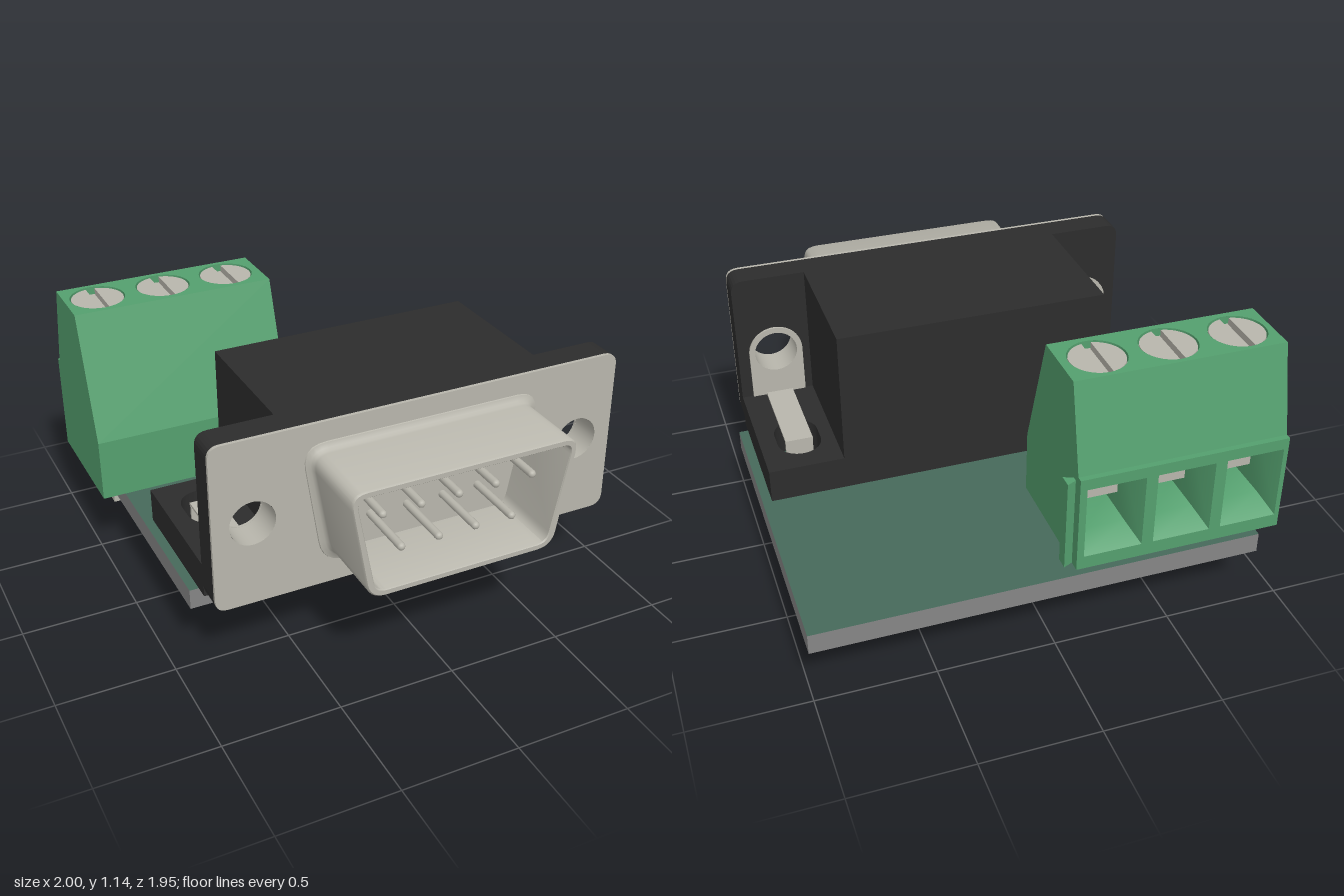
import * as THREE from 'three';
import { toCreasedNormals } from 'three/addons/utils/BufferGeometryUtils.js';

const mat = (name, color, side = THREE.FrontSide) => {
  const m = new THREE.MeshStandardMaterial({ color, side });
  m.name = name;
  return m;
};

// Corner-rounded outline, counterclockwise, as a list of points
function rounded(corners, r, n = 6) {
  const out = [];
  corners.forEach((c, i) => {
    const p = new THREE.Vector2(...c);
    const toward = (k) => new THREE.Vector2(...corners[(i + k + corners.length) % corners.length]).sub(p).setLength(r).add(p);
    out.push(...new THREE.QuadraticBezierCurve(toward(-1), p, toward(1)).getPoints(n));
  });
  return out;
}
const rect = (x0, y0, x1, y1) => [[x0, y0], [x1, y0], [x1, y1], [x0, y1]];
const shapeOf = (pts, holes = []) => {
  const s = new THREE.Shape(pts.map((p) => (p.isVector2 ? p : new THREE.Vector2(...p))));
  s.holes.push(...holes);
  return s;
};
const circle = (x, y, r) => new THREE.Path().absarc(x, y, r, 0, Math.PI * 2, true);
const extrude = (shape, depth, z = 0) =>
  new THREE.ExtrudeGeometry(shape, { depth, bevelEnabled: false, curveSegments: 20 }).translate(0, 0, z);
// Plan shape in (x, z), running down from height top
const slab = (shape, top, depth) => extrude(shape, depth).rotateX(Math.PI / 2).translate(0, top, 0);
const box = (x0, x1, y0, y1, z0, z1) =>
  new THREE.BoxGeometry(x1 - x0, y1 - y0, z1 - z0).translate((x0 + x1) / 2, (y0 + y1) / 2, (z0 + z1) / 2);

// Skin between equal-length closed outlines given as [points, z]
function loft(sections) {
  const pos = [], idx = [], n = sections[0][0].length;
  sections.forEach(([pts, z]) => pts.forEach((p) => pos.push(p.x, p.y, z)));
  for (let i = 0; i < sections.length - 1; i++) {
    for (let j = 0; j < n; j++) {
      const a = i * n + j, b = i * n + ((j + 1) % n);
      idx.push(a, b, b + n, a, b + n, a + n);
    }
  }
  const g = new THREE.BufferGeometry();
  g.setAttribute('position', new THREE.Float32BufferAttribute(pos, 3));
  g.setIndex(idx);
  return toCreasedNormals(g, 0.7);
}

export function createModel() {
  const metal = mat('tinned metal', 0xb8b6ac, THREE.DoubleSide);
  const black = mat('black plastic', 0x2c2c2c);
  const green = mat('terminal green', 0x549f6e, THREE.DoubleSide);
  const mask = mat('board green', 0x46695a);
  const edge = mat('board edge grey', 0x858585);

  const model = new THREE.Group();
  model.name = 'serialConnectorBoard';
  const add = (name, geo, material, parent = model) => {
    const m = new THREE.Mesh(geo, material);
    m.name = name;
    parent.add(m);
    return m;
  };

  const CX = 0.05, TOP = 0.32, HOLE = 0.74, LOCK_Z = 0.07;
  const lockX = [CX - HOLE, CX + HOLE];
  const termX = [-0.855, -0.555, -0.255];

  // Circuit board with lock holes and plated rings
  add('circuitBoard', slab(shapeOf(rect(-0.9, -0.98, 1, 0.44), lockX.map((x) => circle(x, LOCK_Z, 0.1))), TOP, 0.09), [mask, edge]);
  lockX.forEach((x) => {
    const ring = new THREE.Shape().absarc(x, LOCK_Z, 0.12, 0, Math.PI * 2);
    ring.holes.push(circle(x, LOCK_Z, 0.096));
    add('lockRing', slab(ring, TOP + 0.004, 0.098), metal);
  });
  const pad = (x, z, r) =>
    add('solderPad', new THREE.CylinderGeometry(r, r, 0.098, 20).translate(x, TOP - 0.045, z), metal);

  // Connector housing
  const connector = new THREE.Group();
  connector.name = 'connector';
  model.add(connector);
  add('housing', box(CX - 0.585, CX + 0.585, TOP, 1.06, -0.12, 0.5), black, connector);
  const flange = () => shapeOf(rounded(rect(-0.86, TOP, 0.96, 1.06), 0.055), lockX.map((x) => circle(x, 0.69, 0.097)));
  add('rearFlange', extrude(flange(), 0.12, 0.49), black, connector);
  add('facePlate', extrude(flange(), 0.015, 0.61), metal, connector);

  // Feet, brackets and board locks on both sides
  lockX.forEach((x, i) => {
    const inner = CX + (i ? 0.585 : -0.585), outer = CX + (i ? 0.91 : -0.91);
    const slot = new THREE.Path();
    slot.absarc(x, 0.14, 0.095, 0, Math.PI, false);
    slot.absarc(x, 0.068, 0.095, Math.PI, Math.PI * 2, false);
    slot.closePath();
    const foot = shapeOf(rect(Math.min(inner, outer), -0.12, Math.max(inner, outer), 0.5), [slot]);
    add('foot', slab(foot, 0.47, 0.15), black, connector);

    const tongue = new THREE.Shape();
    tongue.moveTo(x - 0.12, 0.472);
    tongue.lineTo(x + 0.12, 0.472);
    tongue.lineTo(x + 0.12, 0.69);
    tongue.absarc(x, 0.69, 0.12, 0, Math.PI, false);
    tongue.closePath();
    tongue.holes.push(circle(x, 0.69, 0.095));
    add('bracketTongue', extrude(tongue, 0.012, 0.479), metal, connector);
    add('holeLiner', new THREE.CylinderGeometry(0.096, 0.096, 0.13, 32, 1, true)
      .rotateX(Math.PI / 2).translate(x, 0.69, 0.555), metal, connector);
    add('bracketStrap', box(x - 0.06, x + 0.06, 0.47, 0.481, 0.065, 0.485), metal, connector);
    const half = [[0.025, 0.3], [0.025, 0], [0.04, 0], [0.06, 0.05], [0.06, 0.475]];
    const prongs = [...half, ...half.map(([u, v]) => [-u, v]).reverse()];
    add('boardLock', extrude(shapeOf(prongs), 0.012, 0.07).translate(x, 0, 0), metal, connector);
  });

  // Flared, D-shaped metal shell, open at the front
  const dee = (o) => rounded([
    [CX - 0.415 - o, 0.45 - o], [CX + 0.415 + o, 0.45 - o],
    [CX + 0.5 + o, 0.94 + o], [CX - 0.5 - o, 0.94 + o]], 0.075 + o);
  const shell = [[0.035, 0.622], [0.032, 0.63], [0.012, 0.637], [0.003, 0.648], [0, 0.66], [0, 0.962],
    [-0.006, 0.97], [-0.026, 0.97], [-0.03, 0.965], [-0.03, 0.64]];
  add('shell', loft(shell.map(([o, z]) => [dee(o), z])), metal, connector);
  add('shellFloor', new THREE.ShapeGeometry(shapeOf(dee(-0.03))).translate(0, 0, 0.645), metal, connector);

  // Nine contacts, each with a tail through the board
  for (let i = 0; i < 9; i++) {
    const upper = i % 2 === 0, x = CX + (i - 4) * 0.0825, z = upper ? -0.005 : 0.16;
    add('contactPin', new THREE.CapsuleGeometry(0.017, 0.27, 4, 12)
      .rotateX(Math.PI / 2).translate(x, upper ? 0.78 : 0.61, 0.77), metal, connector);
    add('pinTail', new THREE.CylinderGeometry(0.017, 0.017, 0.25, 12).translate(x, 0.22, z), metal, connector);
    pad(x, z, 0.045);
  }

  // Terminal block: one panel per edge of its (z, y) side profile
  const terminal = new THREE.Group();
  terminal.name = 'terminalBlock';
  model.add(terminal);
  const profile = [[-0.375, TOP], [-0.375, 0.6], [-0.55, 1.14], [-0.835, 1.14], [-0.925, 0.76], [-0.95, 0.76], [-0.95, TOP]];
  const panels = profile.map((p, i) => {
    const q = profile[(i + 1) % profile.length];
    const s = new THREE.Vector3(0, q[1] - p[1], q[0] - p[0]), len = s.length();
    const x = new THREE.Vector3(1, 0, 0);
    s.normalize();
    let holes = [];
    if (i === 2) holes = termX.map((c) => circle(c, 0.145, 0.12));
    if (i === 5) holes = termX.map((c) => shapeOf(rect(c - 0.125, 0.05, c + 0.125, 0.38)));
    const g = new THREE.Group();
    g.name = 'blockSide';
    new THREE.Matrix4().makeBasis(x, s, x.clone().cross(s)).setPosition(0, p[1], p[0])
      .decompose(g.position, g.quaternion, g.scale);
    add('blockPanel', new THREE.ShapeGeometry(shapeOf(rect(-1, 0, -0.1, len), holes), 24), green, g);
    terminal.add(g);
    return g;
  });
  [1, -1].forEach((s) => {
    const end = new THREE.ShapeGeometry(shapeOf(profile.map(([z, y]) => [-s * z, y])));
    add('blockEnd', end.rotateY(s * Math.PI / 2).translate(s > 0 ? -0.1 : -1, 0, 0), green, terminal);
  });
  add('dovetail', slab(shapeOf([[-0.105, -0.9], [-0.06, -0.92], [-0.06, -0.865], [-0.105, -0.885]]), 0.73, 0.41), green, terminal);

  termX.forEach((x) => {
    // Slotted screw in its well
    const screw = new THREE.Group();
    screw.name = 'screw';
    screw.position.set(x, 0.145, 0);
    panels[2].add(screw);
    add('screwWell', new THREE.CylinderGeometry(0.12, 0.12, 0.06, 32, 1, true)
      .rotateX(Math.PI / 2).translate(0, 0, -0.03), green, screw);
    add('screwBase', new THREE.CircleGeometry(0.12, 32).translate(0, 0, -0.035), metal, screw);
    const a = Math.acos(0.02 / 0.114);
    [0, Math.PI].forEach((turn) => add('screwHalf',
      extrude(new THREE.Shape().absarc(0, 0, 0.114, -a, a), 0.035, -0.04).rotateZ(turn), metal, screw));

    // Funnel-shaped wire entry with clamp inside
    const frame = (w, y0, y1) => rect(x - w, y0, x + w, y1).map((p) => new THREE.Vector2(...p));
    const inside = frame(0.085, 0.105, 0.315);
    add('wireEntry', loft([[frame(0.125, 0.05, 0.38), 0], [inside, -0.09], [inside, -0.28]]), green, panels[5]);
    add('entryBack', new THREE.ShapeGeometry(shapeOf(inside)).translate(0, 0, -0.28), green, panels[5]);
    add('wireClamp', box(x - 0.084, x + 0.084, 0.106, 0.23, -0.27, -0.17), metal, panels[5]);

    add('terminalPin', box(x - 0.026, x + 0.026, 0.115, 0.33, -0.702, -0.648), metal, terminal);
    pad(x, -0.675, 0.075);
  });

  return model;
}
